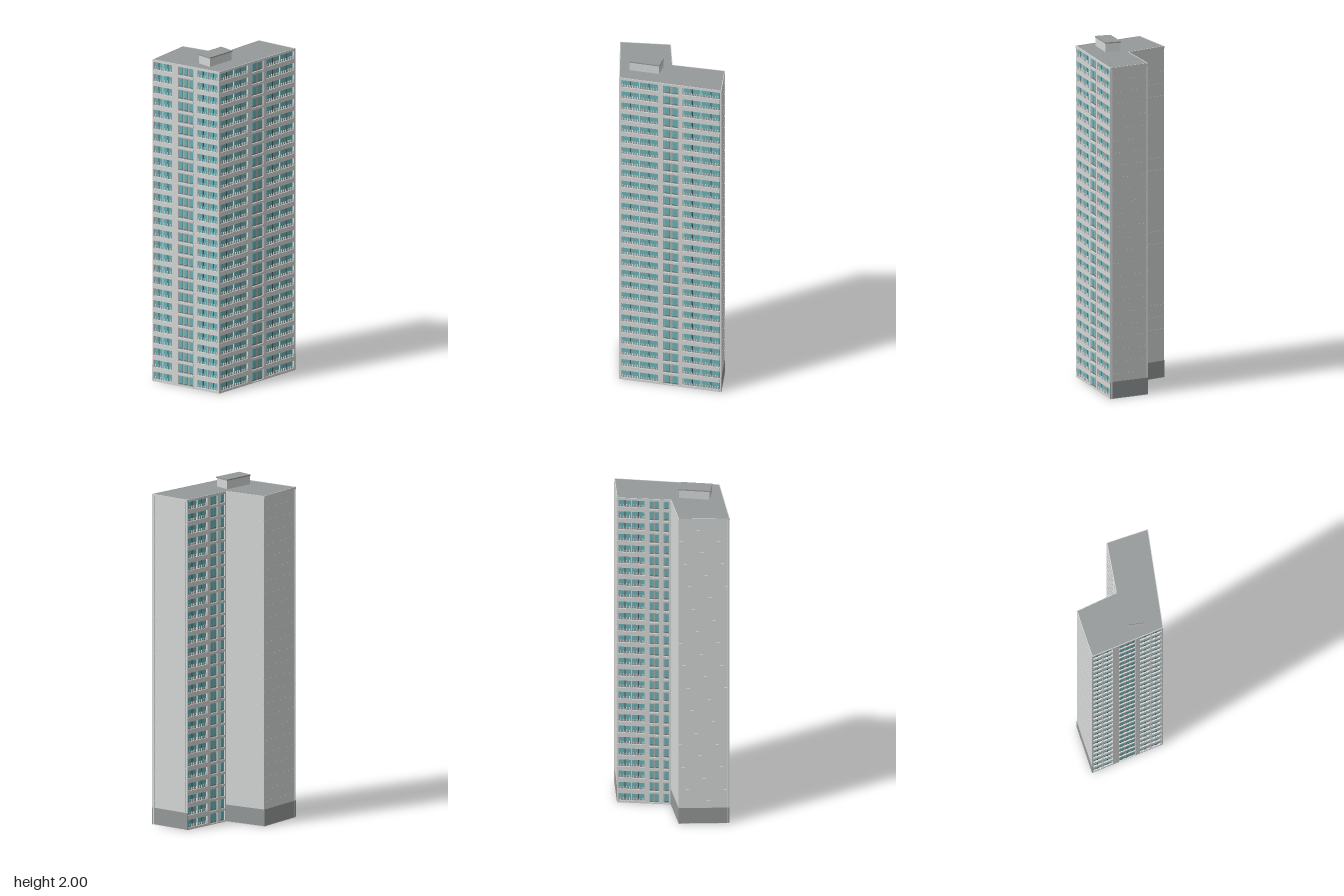
import * as THREE from 'three';
import { mergeGeometries } from 'three/addons/utils/BufferGeometryUtils.js';

const FLOORS = 27, STEP = 0.072, ROOF = 1.937, TOP = 1.945, DEPTH = 0.012;

// Footprint corners (x, z), in order around the plan
const A = [-0.403, 0.08], B = [-0.012, 0.287], C = [0.402, -0.157];
const D = [0.19, -0.289], E = [-0.013, -0.056], F = [-0.241, -0.163];
const PLAN = [A, B, C, D, E, F];
const RECESS = [DEPTH, DEPTH, 0, DEPTH, 0, 0]; // per side, starting with A-B

const mat = (name, color) => Object.assign(new THREE.MeshStandardMaterial({ color }), { name });

// Move each side of the plan inward by its own distance
function insetPlan(points, insets) {
  const n = points.length;
  const lines = points.map((p, i) => {
    const q = points[(i + 1) % n], dx = q[0] - p[0], dz = q[1] - p[1], l = Math.hypot(dx, dz);
    return { x: p[0] + dz / l * insets[i], z: p[1] - dx / l * insets[i], dx, dz };
  });
  return lines.map((b, i) => {
    const a = lines[(i + n - 1) % n];
    const t = ((b.x - a.x) * b.dz - (b.z - a.z) * b.dx) / (a.dx * b.dz - a.dz * b.dx);
    return [a.x + a.dx * t, a.z + a.dz * t];
  });
}

// Upright prism over a plan
function prism(points, y0, y1) {
  const shape = new THREE.Shape(points.map(([x, z]) => new THREE.Vector2(x, -z)));
  return new THREE.ExtrudeGeometry(shape, { depth: y1 - y0, bevelEnabled: false })
    .rotateX(-Math.PI / 2).translate(0, y0, 0);
}

// Box maker for one side: u along the wall (0..1), y up, d outward from the wall face
function side(P, Q) {
  const dx = Q[0] - P[0], dz = Q[1] - P[1], len = Math.hypot(dx, dz);
  const frame = new THREE.Matrix4().makeBasis(
    new THREE.Vector3(dx / len, 0, dz / len), new THREE.Vector3(0, 1, 0),
    new THREE.Vector3(-dz / len, 0, dx / len)).setPosition(P[0], 0, P[1]);
  const box = (u0, u1, y0, y1, d0, d1) =>
    new THREE.BoxGeometry((u1 - u0) * len, y1 - y0, d1 - d0)
      .translate((u0 + u1) / 2 * len, (y0 + y1) / 2, (d0 + d1) / 2).applyMatrix4(frame);
  return { box, len };
}

export function createModel() {
  const model = new THREE.Group();
  model.name = 'apartmentTower';
  const wall = mat('wallGrey', 0xd5d8d7), stone = mat('roofGrey', 0x969a9a);
  const glass = mat('tealGlass', 0x6ab2b6), dark = mat('darkFrame', 0x555b5c);
  const rail = mat('paleRail', 0xe4e7e6), panel = mat('recessPanel', 0xb0adaa);
  const add = (name, geos, material) => {
    const list = [].concat(geos);
    const mesh = new THREE.Mesh(list.length > 1 ? mergeGeometries(list) : list[0], material);
    mesh.name = name;
    model.add(mesh);
  };

  // Core and roof deck
  add('core', prism(insetPlan(PLAN, RECESS), 0.003, ROOF - 0.006), wall);
  add('groundSlab', prism(PLAN, 0, 0.003), wall);
  add('roofDeck', prism(PLAN, ROOF - 0.006, TOP - 0.002), stone);

  // Low parapet
  add('parapet', PLAN.map((p, i) =>
    side(p, PLAN[(i + 1) % 6]).box(0, 1, ROOF - 0.006, TOP, -0.003, 0.001)), wall);

  // Window facades: bays are [start, end, kind, units]
  const facades = [
    { name: 'frontLeft', P: A, Q: B, shade: false,
      bays: [[0.015, 0.29, 'balcony', 2], [0.38, 0.61, 'narrow', 3], [0.67, 0.985, 'balcony', 2]] },
    { name: 'frontRight', P: B, Q: C, shade: true,
      bays: [[0.015, 0.38, 'balcony', 2], [0.43, 0.58, 'narrow', 2], [0.62, 0.985, 'balcony', 2]] },
    { name: 'rear', P: D, Q: E, shade: true,
      bays: [[0.02, 0.52, 'balcony', 2], [0.6, 0.78, 'narrow', 2], [0.86, 0.97, 'narrow', 1]] },
  ];
  for (const f of facades) {
    const { box, len } = side(f.P, f.Q);
    const piers = [], bands = [], panes = [], frames = [], rails = [], panels = [], aprons = [];
    // Solid piers between the bays
    let edge = 0;
    for (const [u0, u1] of [...f.bays, [1, 1]]) {
      piers.push(box(edge, u0, 0.003, ROOF - 0.006, -DEPTH - 0.002, 0));
      edge = u1;
    }
    for (const [u0, u1, kind, units] of f.bays) {
      const w = (u1 - u0) / units, gap = 0.003 / len;
      if (kind === 'narrow') panels.push(box(u0, u1, 0.003, ROOF - 0.006, -DEPTH - 0.002, -0.006));
      else for (let u = 1; u < units; u++)
        piers.push(box(u0 + u * w - gap, u0 + u * w + gap, 0.003, ROOF - 0.006, -DEPTH, 0));
      for (let i = 0; i <= FLOORS; i++) {
        const y = i * STEP;
        // Floor band
        const half = kind === 'balcony' ? 0.013 : 0.006;
        bands.push(box(u0, u1, Math.max(0.003, y - half), Math.min(ROOF - 0.006, y + half + 0.001),
          -DEPTH - 0.002, 0.001));
        if (i === FLOORS) continue;
        for (let u = 0; u < units; u++) {
          if (kind === 'narrow') {
            // Tall window with a sill
            const a = u0 + (u + 0.17) * w, b = a + 0.66 * w;
            panes.push(box(a, b, y + 0.016, y + 0.06, -0.009, -0.004));
            frames.push(box(a, b, y + 0.0135, y + 0.016, -0.009, -0.003));
          } else {
            // Recessed glazing with a dark centre mullion
            const a = u0 + u * w + gap, b = a + w - 2 * gap, m = (a + b) / 2, g = 0.003 / len;
            panes.push(box(a, b, y + 0.013, y + 0.06, -DEPTH - 0.001, -DEPTH + 0.003));
            frames.push(box(m - g, m + g, y + 0.014, y + 0.059, -DEPTH, -DEPTH + 0.005));
            if (f.shade) aprons.push(box(a, b, y + 0.014, y + 0.024, -DEPTH, -DEPTH + 0.006));
            // Comb railing
            const count = Math.round((b - a) * len / 0.016), r = 0.0018 / len;
            for (let k = 0; k < count; k++) {
              const c = a + (b - a) * (k + 0.5) / count;
              rails.push(box(c - r, c + r, y + 0.014, y + 0.033, -0.001, 0.002));
            }
          }
        }
      }
    }
    add(f.name + 'Piers', piers, wall);
    add(f.name + 'FloorBands', bands, wall);
    add(f.name + 'Panels', panels, panel);
    add(f.name + 'Glass', panes, glass);
    add(f.name + 'Frames', frames, dark);
    add(f.name + 'Railings', rails, rail);
    if (aprons.length) add(f.name + 'Aprons', aprons, stone);
  }

  // Blank walls: darker plinth and fine raised floor joints
  const plinths = [], joints = [];
  [[C, D], [E, F], [F, A]].forEach(([P, Q], n) => {
    const { box } = side(P, Q);
    plinths.push(box(0, 1, 0.003, 0.1, -0.002, 0.001));
    for (let i = 2; i < FLOORS; i++)
      joints.push(box(0.01, 0.99, i * STEP - 0.0007, i * STEP + 0.0007, -0.001, 0.0006));
    if (n === 0) joints.push(box(0.815, 0.82, 0.1, ROOF - 0.006, -0.001, 0.0006));
  });
  add('plinths', plinths, stone);
  add('floorJoints', joints, wall);

  // Rooftop plant room
  const room = [[-0.14, 0.13], [-0.07, 0.195], [0.053, 0.062], [-0.016, -0.004]];
  add('plantRoom', prism(insetPlan(room, [0.003, 0.003, 0.003, 0.003]), ROOF, 1.993), wall);
  add('plantRoomRoof', prism(room, 1.993, 2), stone);
  return model;
}
